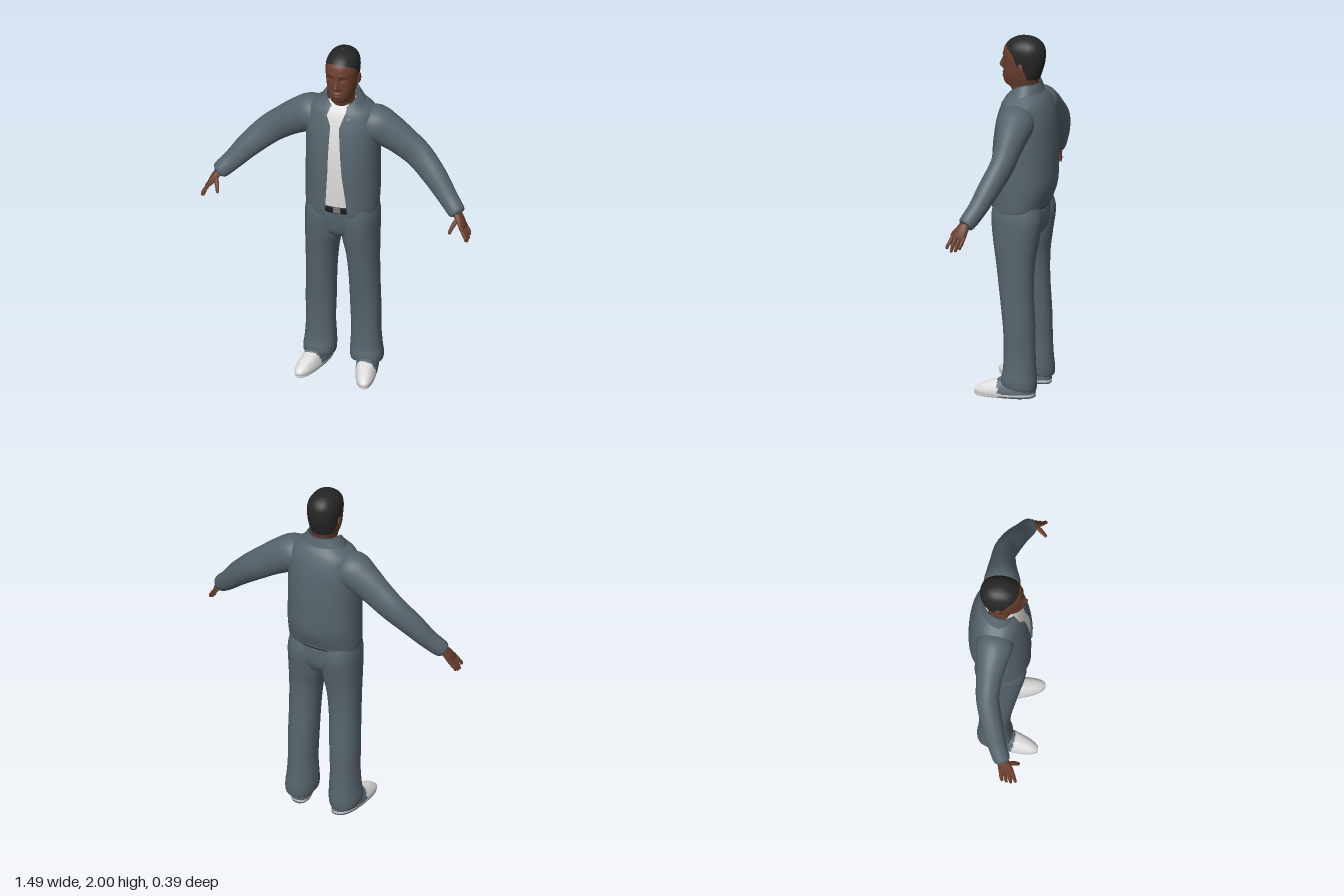
import * as THREE from 'three';

const paint = (name, color) => Object.assign(new THREE.MeshStandardMaterial({ color }), { name });

// Smooth interpolation through the rows of a table, t from 0 to 1
function sample(rows, t) {
  const n = rows.length - 1, f = Math.min(t * n, n - 1e-6), i = Math.floor(f), k = f - i;
  const row = (j) => rows[Math.max(0, Math.min(n, j))];
  return rows[0].map((_, c) => {
    const [a, b, d, e] = [row(i - 1)[c], row(i)[c], row(i + 1)[c], row(i + 2)[c]];
    return b + 0.5 * k * (d - a + k * (2 * a - 5 * b + 4 * d - e + k * (3 * (b - d) + e - a)));
  });
}

// Straight-line lookup in a list of [key, value] with rising keys
function lookup(table, x) {
  for (let i = 1; i < table.length; i++) {
    const [a, va] = table[i - 1], [b, vb] = table[i];
    if (x <= b) return va + (vb - va) * Math.max(0, (x - a) / (b - a));
  }
  return table[table.length - 1][1];
}

// Grid surface from point(u, v); closed joins the last column to the first
function grid(nu, nv, closed, point) {
  const cols = closed ? nu : nu + 1, pos = [], idx = [];
  for (let j = 0; j <= nv; j++) for (let i = 0; i < cols; i++) pos.push(...point(i / nu, j / nv));
  for (let j = 0; j < nv; j++) for (let i = 0; i < nu; i++) {
    const a = j * cols + i, b = j * cols + ((i + 1) % cols), c = b + cols, d = a + cols;
    idx.push(a, b, c, a, c, d);
  }
  const g = new THREE.BufferGeometry();
  g.setAttribute('position', new THREE.Float32BufferAttribute(pos, 3));
  g.setIndex(idx);
  g.computeVertexNormals();
  return g;
}

// Upright cross-section: row = [y, centre x, half width, front z, back z], angle 0 faces +z
const ROUND = 2.25, MID = -0.02;
const bulge = (c) => Math.sign(c) * Math.abs(c) ** (2 / ROUND);
function section([y, cx, hw, zf, zb], a) {
  const c = bulge(Math.cos(a));
  return [cx + hw * bulge(Math.sin(a)), y, MID + c * (c > 0 ? zf - MID : MID - zb)];
}
const loft = (rows, nu, nv, shape = (p) => p) =>
  grid(nu, nv, true, (u, v) => shape(section(sample(rows, v), u * Math.PI * 2), u * Math.PI * 2));

// Limb along a path: row = [x, y, z, thickness radius, width radius]
function limb(rows, nu, nv) {
  const W = new THREE.Vector3(0, 0, 1);
  return grid(nu, nv, true, (u, v) => {
    const s = sample(rows, v), p = sample(rows, Math.max(0, v - 0.02)), q = sample(rows, Math.min(1, v + 0.02));
    const T = new THREE.Vector3(q[0] - p[0], q[1] - p[1], q[2] - p[2]).normalize();
    const N = W.clone().cross(T).normalize(), B = T.clone().cross(N);
    return new THREE.Vector3(...s).addScaledVector(N, s[3] * Math.cos(u * Math.PI * 2))
      .addScaledVector(B, s[4] * Math.sin(u * Math.PI * 2)).toArray();
  });
}

// Sorts triangles into two material groups by a test on centroid and normal
function splitFaces(g, test) {
  const tri = new THREE.Triangle(), sets = [[], []], m = new THREE.Vector3(), n = new THREE.Vector3();
  const ix = g.index.array;
  for (let i = 0; i < ix.length; i += 3) {
    tri.setFromAttributeAndIndices(g.attributes.position, ix[i], ix[i + 1], ix[i + 2]);
    sets[test(tri.getMidpoint(m), tri.getNormal(n)) ? 1 : 0].push(ix[i], ix[i + 1], ix[i + 2]);
  }
  g.setIndex([...sets[0], ...sets[1]]);
  g.addGroup(0, sets[0].length, 0);
  g.addGroup(sets[0].length, sets[1].length, 1);
  return g;
}

function mirrored(g) {
  const m = g.clone(), p = m.attributes.position, ix = m.index.array;
  for (let i = 0; i < p.count; i++) p.setX(i, -p.getX(i));
  for (let i = 0; i < ix.length; i += 3) [ix[i + 1], ix[i + 2]] = [ix[i + 2], ix[i + 1]];
  m.computeVertexNormals();
  return m;
}

export function createModel() {
  const model = new THREE.Group();
  model.name = 'standingMan';
  const cloth = paint('slateCloth', 0x57646d), white = paint('whiteCloth', 0xdcdcdc);
  const skin = paint('skin', 0x6a3f2e), palm = paint('palmSkin', 0x94664e);
  const hair = paint('hair', 0x262626), black = paint('beltLeather', 0x1d1d1f);
  const metal = paint('buckleMetal', 0x77787a), shoeSide = paint('shoeSide', 0x59656e);
  const lid = paint('eyelid', 0x54301f);
  cloth.side = white.side = THREE.DoubleSide;
  const add = (name, g, mat) => {
    const mesh = new THREE.Mesh(g, mat);
    mesh.name = name;
    model.add(mesh);
    return mesh;
  };
  const pair = (name, g, mat) => { add(name + 'Left', g, mat); add(name + 'Right', mirrored(g), mat); };

  // Jacket body, open down the front
  const torso = [
    [1.085, 0, 0.185, 0.13, -0.14], [1.05, 0, 0.195, 0.145, -0.15], [1.075, 0, 0.2, 0.15, -0.157],
    [1.18, 0, 0.202, 0.15, -0.185], [1.3, 0, 0.2, 0.15, -0.19], [1.42, 0, 0.2, 0.142, -0.188],
    [1.53, 0, 0.2, 0.125, -0.18], [1.6, 0, 0.192, 0.105, -0.165], [1.645, 0, 0.175, 0.088, -0.148],
    [1.675, 0, 0.135, 0.07, -0.13], [1.7, 0, 0.095, 0.05, -0.105]];
  const gapLeft = [[1.03, 0.08], [1.3, 0.045], [1.58, 0.02], [1.66, 0.045], [1.7, 0.05]];
  const gapRight = [[1.03, 0.05], [1.3, 0.035], [1.58, 0.03], [1.66, 0.07], [1.7, 0.06]];
  add('jacketBody', grid(72, 60, false, (u, v) => {
    const r = sample(torso, v);
    const edge = (t) => Math.asin(Math.min(1, lookup(t, r[0]) / r[2]) ** (ROUND / 2));
    const a0 = edge(gapLeft), a = a0 + u * (Math.PI * 2 - edge(gapRight) - a0);
    const p = section(r, a);
    p[1] -= 0.018 * Math.cos(a) * Math.max(0, 1 - (r[0] - 1.05) / 0.1);
    return p;
  }), cloth);

  // Shirt under the jacket
  const inner = torso.slice(3).map(([y, x, w, f, b]) => [y - 0.01, x, w - 0.012, f - 0.012, b + 0.012]);
  add('shirt', loft([[1.09, 0, 0.185, 0.136, -0.145], ...inner], 56, 40), white);

  // Folded collar, high at the nape and dropping to two points
  add('collar', grid(56, 10, false, (u, v) => {
    const a = 0.5 + u * (Math.PI * 2 - 1), s = Math.sin(a), c = Math.cos(a), f = (1 + c) / 2;
    const low = [0.125 * s, 1.7 - 0.09 * f ** 2.5, MID + (c > 0 ? 0.135 : 0.1) * c];
    const top = [0.088 * s, 1.757 - 0.09 * f ** 3, MID + 0.085 * c];
    const base = [0.08 * s, 1.68 - 0.04 * f, MID + 0.08 * c];
    const k = v < 0.6 ? v / 0.6 : (v - 0.6) / 0.4, [p, q] = v < 0.6 ? [low, top] : [top, base];
    return p.map((w, i) => w + (q[i] - w) * k);
  }), cloth);

  // Sleeves
  pair('sleeve', limb([
    [0.1, 1.575, -0.03, 0.06, 0.08], [0.17, 1.565, -0.032, 0.1, 0.1], [0.25, 1.52, -0.04, 0.098, 0.085],
    [0.33, 1.465, -0.045, 0.088, 0.07], [0.42, 1.395, -0.043, 0.08, 0.062], [0.52, 1.3, -0.01, 0.068, 0.058],
    [0.6, 1.21, 0.025, 0.055, 0.05], [0.665, 1.145, 0.06, 0.046, 0.044], [0.67, 1.14, 0.063, 0.022, 0.022]], 32, 48), cloth);

  // Hands: palm, thumb and four fingers
  const hand = (name, rows, nu) => pair(name, splitFaces(limb(rows, nu, 20),
    (m, n) => n.x * 0.78 + n.y * 0.62 < -0.5), [skin, palm]);
  hand('palm', [[0.655, 1.155, 0.06, 0.024, 0.026], [0.685, 1.12, 0.075, 0.021, 0.035],
    [0.705, 1.085, 0.088, 0.017, 0.041], [0.711, 1.07, 0.092, 0.012, 0.037], [0.713, 1.066, 0.093, 0.001, 0.004]], 24);
  hand('thumb', [[0.68, 1.125, 0.09, 0.012, 0.012], [0.665, 1.1, 0.12, 0.012, 0.012],
    [0.655, 1.077, 0.14, 0.01, 0.01], [0.651, 1.06, 0.149, 0.008, 0.008], [0.65, 1.055, 0.151, 0.001, 0.001]], 12);
  [[1.02, 0.142], [1.003, 0.118], [1.008, 0.094], [1.022, 0.07]].forEach(([y, z], i) => {
    const zb = 0.12 - i * 0.021;
    hand('finger' + (i + 1), [[0.703, 1.09, zb, 0.01, 0.01], [0.726, 1.055, (z + zb) / 2, 0.0105, 0.0105],
      [0.737, y + 0.018, z - 0.003, 0.009, 0.009], [0.74, y + 0.004, z, 0.007, 0.007], [0.741, y, z, 0.001, 0.001]], 12);
  });

  // Trousers: hips and two legs with slack hems
  add('hips', loft([[0.86, 0, 0.07, 0.06, -0.07], [0.9, 0, 0.15, 0.105, -0.115], [0.96, 0, 0.19, 0.122, -0.14],
    [1.04, 0, 0.19, 0.13, -0.142], [1.1, 0, 0.182, 0.128, -0.135]], 48, 24), cloth);
  pair('trouserLeg', loft([
    [0.085, 0.13, 0.06, 0.03, -0.1], [0.062, 0.132, 0.082, 0.058, -0.126], [0.1, 0.131, 0.088, 0.06, -0.131],
    [0.16, 0.128, 0.084, 0.05, -0.125], [0.26, 0.127, 0.078, 0.047, -0.121], [0.4, 0.125, 0.081, 0.053, -0.118],
    [0.6, 0.12, 0.082, 0.078, -0.108], [0.75, 0.113, 0.088, 0.098, -0.112], [0.87, 0.102, 0.1, 0.118, -0.13],
    [1.0, 0.1, 0.1, 0.13, -0.148], [1.08, 0.1, 0.085, 0.12, -0.13]], 40, 66, (p, a) => {
    p[1] += 0.02 * Math.cos(a) * Math.max(0, 1 - (p[1] - 0.06) / 0.1);
    return p;
  }), cloth);

  // Belt and buckle
  add('belt', loft([[1.048, 0, 0.186, 0.133, -0.138], [1.06, 0, 0.19, 0.138, -0.142],
    [1.085, 0, 0.19, 0.138, -0.142], [1.094, 0, 0.186, 0.133, -0.138]], 48, 9), black);
  add('buckle', new THREE.BoxGeometry(0.04, 0.03, 0.008), metal).position.set(0.015, 1.072, 0.139);

  // Shoes turned slightly outward, pale at the toe and along the welt
  pair('shoe', splitFaces(loft([
    [0, 0.141, 0.004, 0.01, -0.03], [0, 0.141, 0.05, 0.18, -0.112], [0.015, 0.141, 0.06, 0.198, -0.12],
    [0.035, 0.141, 0.061, 0.2, -0.12], [0.06, 0.14, 0.056, 0.172, -0.115], [0.08, 0.138, 0.05, 0.13, -0.11],
    [0.1, 0.135, 0.044, 0.07, -0.1], [0.12, 0.132, 0.03, 0.02, -0.08]], 56, 48, (p) =>
    [p[0] + 0.2 * p[2], Math.max(0, p[1]), p[2]]),
  (m) => m.z > 0.045 + 0.3 * m.y || (m.y < 0.004 ? m.z > -0.03 : m.y > 0.012 && m.y < 0.024)), [shoeSide, white]);

  // Head and neck with sculpted face; hair follows a hairline
  const bump = (d, w) => Math.exp(-((d / w) ** 2));
  const nose = [[1.803, 0], [1.815, 0.85], [1.828, 1], [1.87, 0.3], [1.9, 0]];
  const hairline = [[1.765, -0.2], [1.775, -0.055], [1.82, -0.045], [1.855, 0], [1.91, 0.02],
    [1.935, 0.05], [1.955, 0.075], [1.968, 0.1]];
  const head = loft([
    [1.6, 0, 0.068, 0.035, -0.085], [1.67, 0, 0.063, 0.045, -0.085], [1.712, 0, 0.061, 0.06, -0.088],
    [1.732, 0, 0.06, 0.092, -0.09], [1.755, 0, 0.068, 0.101, -0.095], [1.8, 0, 0.08, 0.099, -0.11],
    [1.85, 0, 0.086, 0.098, -0.124], [1.9, 0, 0.089, 0.1, -0.13], [1.94, 0, 0.084, 0.092, -0.125],
    [1.97, 0, 0.068, 0.068, -0.106], [1.99, 0, 0.043, 0.033, -0.075], [1.998, 0, 0.018, 0, -0.045],
    [2, 0, 0.001, -0.019, -0.021]], 112, 110, (p) => {
    const [x, y, z] = p, ax = Math.abs(x);
    if (z > 0.02) {
      p[2] += 0.031 * bump(x, 0.009 + 0.008 * bump(y - 1.815, 0.02)) * lookup(nose, y)
        - 0.011 * bump(ax - 0.034, 0.017) * bump(y - 1.872, 0.012)
        + 0.004 * bump(ax - 0.03, 0.025) * bump(y - 1.897, 0.01)
        + bump(x, 0.024) * (0.009 * bump(y - 1.785, 0.007) + 0.009 * bump(y - 1.767, 0.007));
    }
    return p;
  });
  add('head', splitFaces(head, (m) => m.y > 1.766 && (m.y > 1.968 || m.z < lookup(hairline, m.y))), [skin, hair]);
  pair('ear', new THREE.SphereGeometry(1, 16, 12).scale(0.009, 0.033, 0.019).rotateY(-0.3).translate(0.087, 1.835, -0.022), skin);
  pair('eyelid', new THREE.SphereGeometry(1, 16, 10).scale(0.014, 0.006, 0.006).rotateY(0.3).translate(0.034, 1.871, 0.077), lid);

  return model;
}
